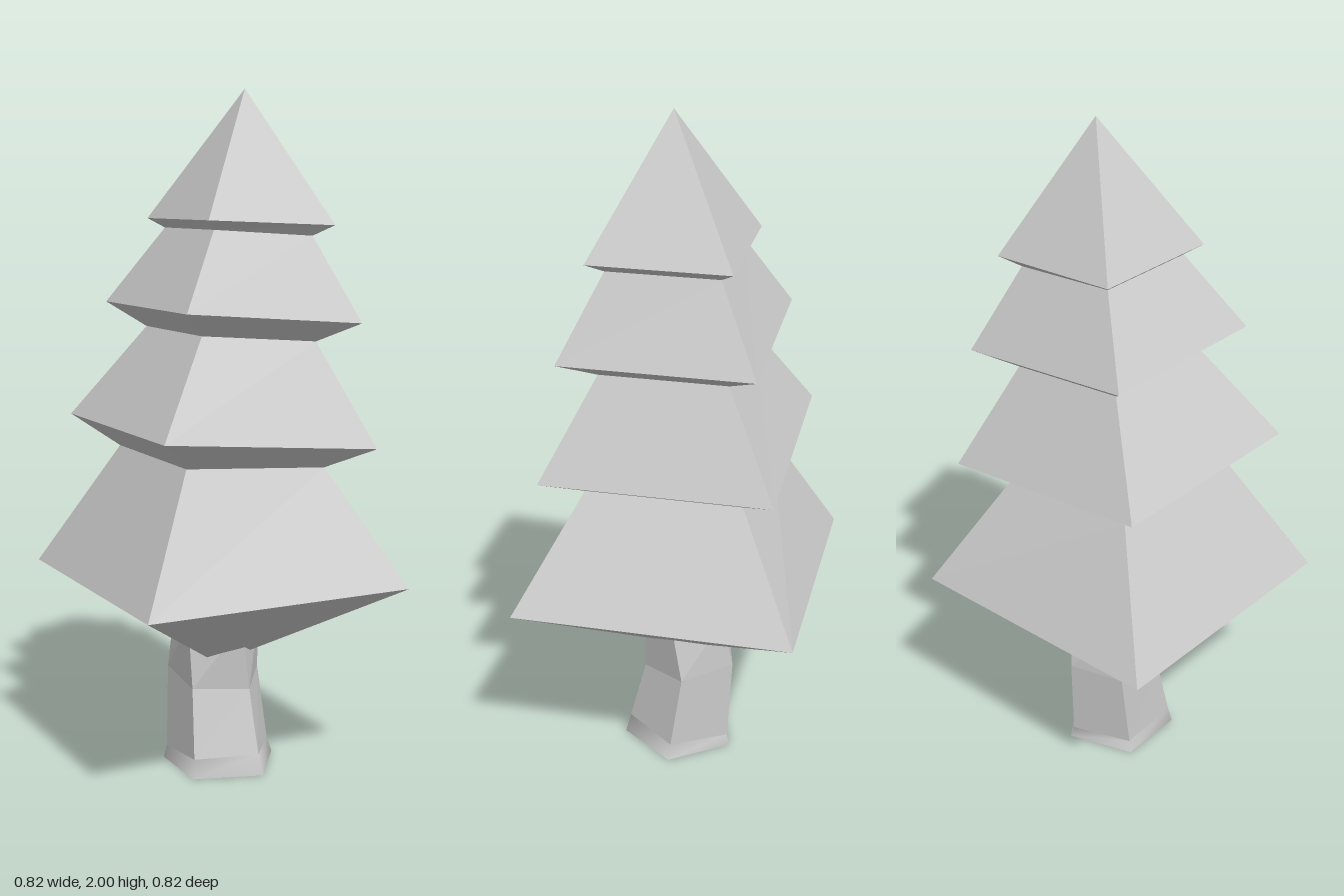
import * as THREE from 'three';

// Skin a stack of rings (bottom to top); all rings have the same point count.
function loft(rings, flat = true) {
  const n = rings[0].length, index = [];
  const same = (p, q) => p.every((v, k) => v === q[k]);
  for (let r = 0; r + 1 < rings.length; r++) {
    for (let i = 0; i < n; i++) {
      const j = (i + 1) % n;
      const a = r * n + i, b = r * n + j;
      if (!same(rings[r][i], rings[r][j])) index.push(b, a, a + n);
      if (!same(rings[r + 1][i], rings[r + 1][j])) index.push(b, a + n, b + n);
    }
  }
  let g = new THREE.BufferGeometry();
  g.setAttribute('position', new THREE.Float32BufferAttribute(rings.flat(2), 3));
  g.setIndex(index);
  if (flat) g = g.toNonIndexed();
  g.computeVertexNormals();
  return g;
}

// Four-cornered ring with its own height on the left and right.
const square = ([x0, y0, x1, y1, hz]) =>
  [[x1, y1, hz], [x0, y0, hz], [x0, y0, -hz], [x1, y1, -hz]];

// Five-sided ring: centre, radius, tilt along z, twist.
const pentagon = (cx, y, cz, radius, tilt = 0, twist = 0) =>
  Array.from({ length: 5 }, (_, i) => {
    const t = twist + i * Math.PI * 2 / 5;
    const z = cz + radius * Math.sin(t);
    return [cx + radius * Math.cos(t), y + tilt * z, z];
  });

const point = (x, y, z, n) => Array.from({ length: n }, () => [x, y, z]);

export function createModel() {
  const group = new THREE.Group();
  const add = (name, geometry, flatShading = true) => {
    const mesh = new THREE.Mesh(geometry,
      new THREE.MeshStandardMaterial({ color: 0xcccccc, flatShading }));
    mesh.name = name;
    group.add(mesh);
  };

  // Foliage: alternating wide skirts and narrow waists, leaning towards +x
  const foliage = [
    [-0.41, 0.585, 0.41, 0.585, 0.41],
    [-0.21, 0.955, 0.23, 0.925, 0.23],
    [-0.325, 1.045, 0.342, 0.985, 0.335],
    [-0.14, 1.315, 0.225, 1.285, 0.185],
    [-0.23, 1.385, 0.322, 1.34, 0.278],
    [-0.09, 1.605, 0.225, 1.585, 0.16],
    [-0.127, 1.632, 0.275, 1.615, 0.202],
  ].map(square);
  add('foliage', loft([point(0, 0.31, 0, 4), ...foliage, point(0.09, 2, 0, 4)]));

  // Crooked five-sided trunk
  const foot = pentagon(0.014, 0, -0.002, 0.176);
  const ankle = pentagon(0.012, 0.047, -0.005, 0.163, 0.09);
  const knee = pentagon(0.012, 0.265, -0.036, 0.145, -0.15);
  const top = pentagon(0.01, 0.45, -0.025, 0.135, 0, 0.17);
  add('trunk', loft([ankle, knee, top]));

  // Smooth flare at the root, closed below
  add('trunkFlare', loft([foot, ankle], false), false);
  add('trunkBase', loft([point(0.014, 0, 0, 5), foot]));

  return group;
}
